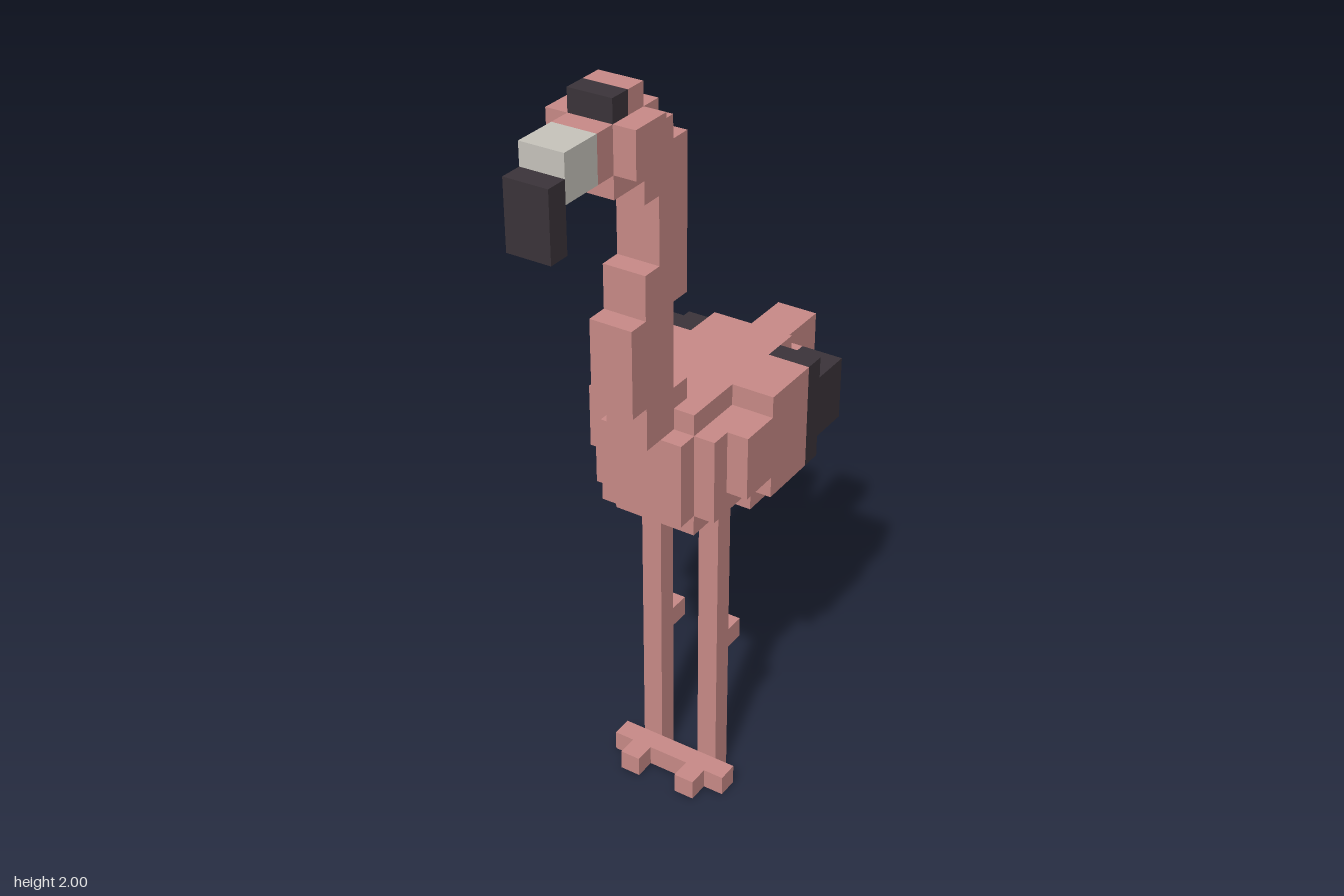
import * as THREE from 'three';

const U = 1 / 18; // size of one block

const pink = new THREE.MeshStandardMaterial({ color: 0xc98b88 });
pink.name = 'pink feathers';
const black = new THREE.MeshStandardMaterial({ color: 0x3b343a });
black.name = 'black feathers';
const grey = new THREE.MeshStandardMaterial({ color: 0xc8c5bd });
grey.name = 'pale beak';

// Box given by its limits in blocks
function block(parent, name, material, [x0, x1], [y0, y1], [z0, z1]) {
  const geo = new THREE.BoxGeometry((x1 - x0) * U, (y1 - y0) * U, (z1 - z0) * U);
  const mesh = new THREE.Mesh(geo, material);
  mesh.position.set((x0 + x1) / 2 * U, (y0 + y1) / 2 * U, (z0 + z1) / 2 * U);
  mesh.name = name;
  parent.add(mesh);
}

// The same box on both sides of the body
function pair(parent, name, material, [x0, x1], y, z) {
  block(parent, 'left' + name, material, [x0, x1], y, z);
  block(parent, 'right' + name, material, [-x1, -x0], y, z);
}

function part(root, name) {
  const g = new THREE.Group();
  g.name = name;
  root.add(g);
  return g;
}

export function createModel() {
  const root = new THREE.Group();
  root.name = 'wadingBird';

  // Legs with backward knees and cross-shaped feet
  const legs = part(root, 'legs');
  pair(legs, 'Leg', pink, [1, 2], [0, 15], [-1, 0]);
  pair(legs, 'Knee', pink, [1, 2], [7, 8], [-2, -1]);
  pair(legs, 'SideToes', pink, [0, 3], [0, 1], [0, 1]);
  pair(legs, 'FrontToe', pink, [1, 2], [0, 1], [1, 2]);

  // Body
  const body = part(root, 'body');
  block(body, 'torso', pink, [-2, 2], [16, 20], [-7, 3]);
  block(body, 'back', pink, [-2, 2], [20, 21], [-6, 2]);
  block(body, 'belly', pink, [-2, 2], [15, 16], [-6, 2]);
  pair(body, 'Thigh', pink, [2, 3], [15, 16], [-3, -1]);
  pair(body, 'Flank', pink, [2, 3], [16, 20], [-1, 2]);
  block(body, 'tail', pink, [-1, 1], [18, 20], [-10, -7]);

  // Wings with black tips
  const wings = part(root, 'wings');
  pair(wings, 'WingShoulder', pink, [3, 4], [17, 20], [-1, 1]);
  pair(wings, 'Wing', pink, [2, 4], [16, 21], [-4, -1]);
  pair(wings, 'WingBand', black, [2, 4], [16, 21], [-5, -4]);
  pair(wings, 'WingTip', black, [2, 4], [17, 20], [-7, -5]);

  // Curved neck, from the base up: [y range, z range]
  const neck = part(root, 'neck');
  const steps = [
    [[20, 22], [1, 4]],
    [[22, 26], [2, 5]],
    [[26, 28], [1, 4]],
    [[28, 33], [1, 3]],
    [[31, 34], [2, 4]],
  ];
  steps.forEach(([y, z], i) => block(neck, 'neckSegment' + (i + 1), pink, [-1, 1], y, z));

  // Head, cheeks and hooked beak
  const head = part(root, 'head');
  block(head, 'skull', pink, [-1, 1], [32, 35], [3, 6]);
  block(head, 'crown', pink, [-1, 1], [35, 36], [4, 5]);
  block(head, 'forehead', black, [-1, 1], [35, 36], [5, 6]);
  pair(head, 'Cheek', pink, [1, 2], [33, 35], [4, 6]);
  block(head, 'beakBase', pink, [-1, 1], [33, 35], [6, 7]);
  block(head, 'beak', grey, [-1, 1], [33, 35], [7, 9]);
  block(head, 'beakTip', black, [-1, 1], [31, 34], [9, 10]);

  return root;
}
